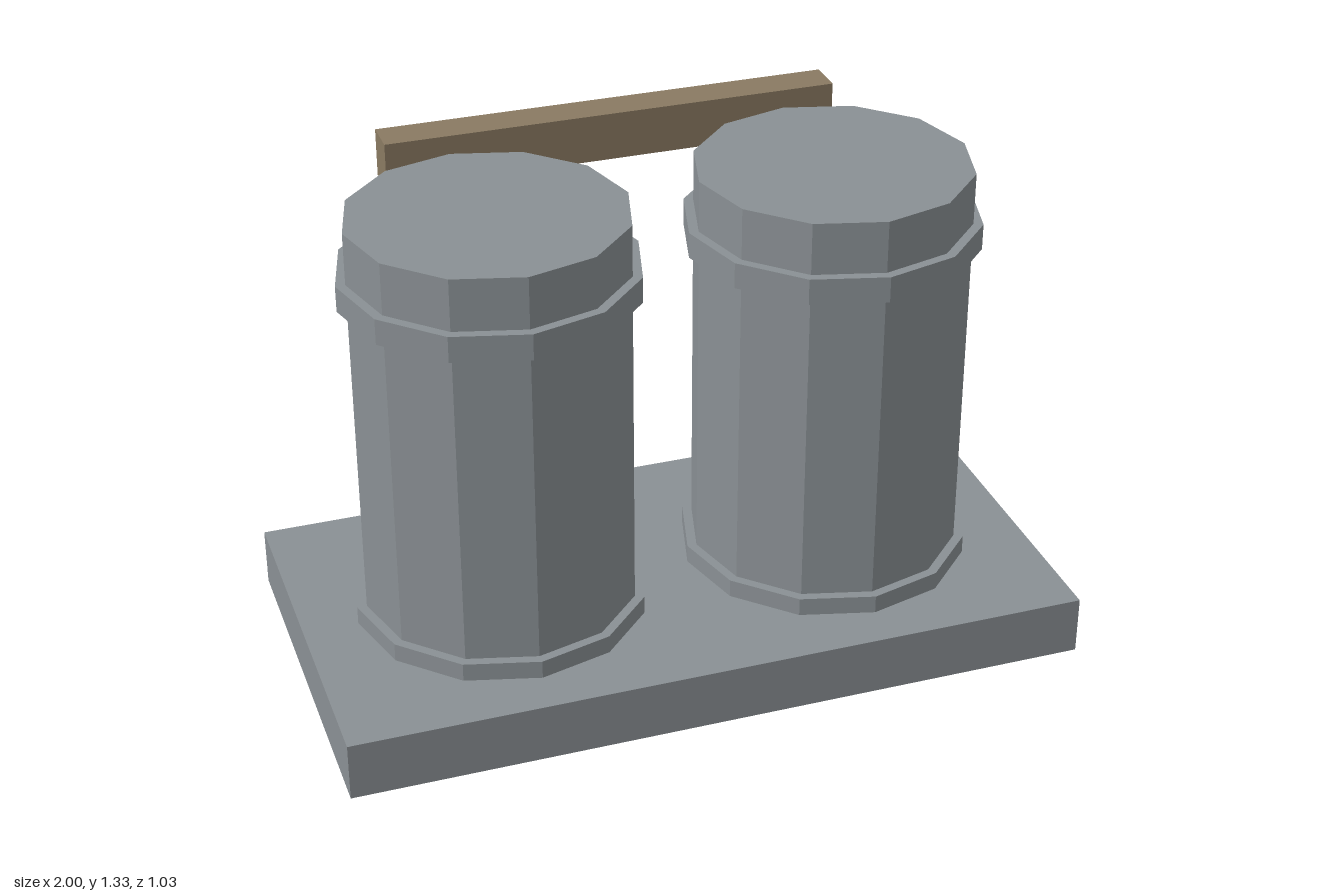
import * as THREE from 'three';

export function createModel() {
  const model = new THREE.Group();
  model.name = 'twinTanks';

  const metal = new THREE.MeshStandardMaterial({ color: 0x8a9094 });
  metal.name = 'greyMetal';
  const wood = new THREE.MeshStandardMaterial({ color: 0x8a7a62 });
  wood.name = 'brownWood';
  metal.flatShading = true;

  const add = (parent, name, geometry, material, x, y, z) => {
    const mesh = new THREE.Mesh(geometry, material);
    mesh.name = name;
    mesh.position.set(x, y, z);
    parent.add(mesh);
  };

  // Twelve-sided drum between two heights
  const drum = (parent, name, radius, bottom, top) => add(
    parent, name, new THREE.CylinderGeometry(radius, radius, top - bottom, 12),
    metal, 0, (bottom + top) / 2, 0);

  // Base slab
  add(model, 'base', new THREE.BoxGeometry(2, 0.16, 1.032), metal, 0, 0.08, 0);

  // Two tanks, each with a foot ring and an upper band
  for (const side of [-1, 1]) {
    const tank = new THREE.Group();
    tank.name = side > 0 ? 'leftTank' : 'rightTank';
    tank.position.x = side * 0.46;
    drum(tank, 'tankBody', 0.366, 0.16, 1.3);
    drum(tank, 'footRing', 0.392, 0.16, 0.21);
    drum(tank, 'upperBand', 0.392, 1.09, 1.16);
    model.add(tank);
  }

  // Beam behind the tank tops
  add(model, 'rearBeam', new THREE.BoxGeometry(1.24, 0.13, 0.103), wood, 0, 1.265, -0.461);

  return model;
}
